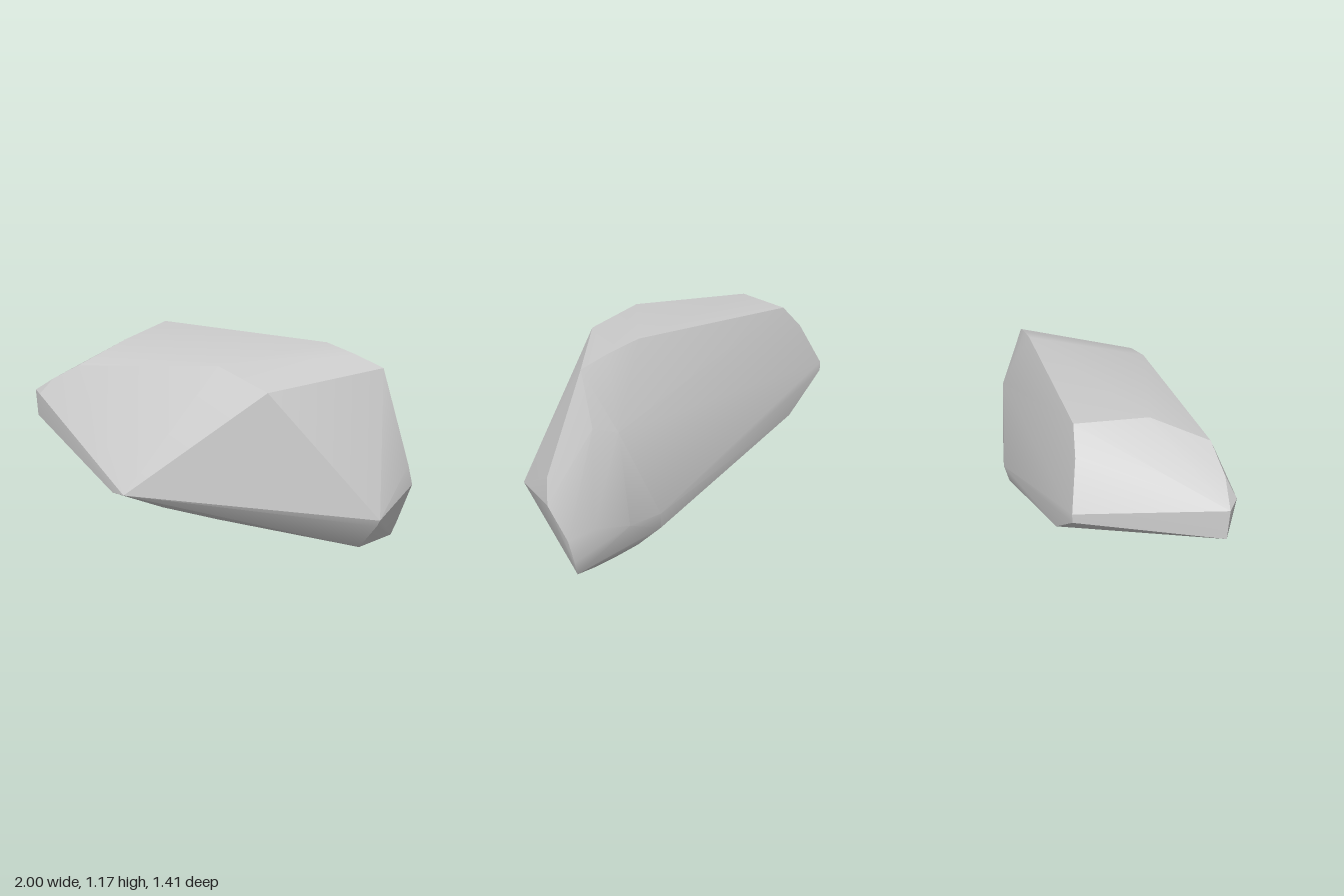
import * as THREE from 'three';
import { ConvexGeometry } from 'three/addons/geometries/ConvexGeometry.js';
import { toCreasedNormals } from 'three/addons/utils/BufferGeometryUtils.js';

// Corner points of the boulder, grouped by region
const crown = [
  [-0.76, 1.07, -0.11], [-0.48, 1.16, -0.23], [-0.08, 1.165, 0.31], [0.13, 1.075, 0.5],
  [0.57, 1.172, 0.1], [0.7, 1.13, 0.21], [0.82, 1.08, 0.31], [-0.22, 1.16, -0.5],
];
const leftEnd = [
  [0.885, 0.81, 0.24], [0.83, 0.78, 0.13], [0.95, 0.56, 0.46], [0.99, 0.43, 0.45],
  [1, 0.25, 0.35], [0.98, 0.12, 0.33], [0.95, 0.035, 0.33], [0.94, 0.3, 0.235],
  [0.83, 0.28, 0.085],
];
const rightEnd = [
  [-0.9, 0.97, -0.2], [-1, 0.87, -0.31], [-1, 0.71, -0.32], [-0.98, 0.88, -0.215],
];
const front = [
  [-0.6, 0.51, 0.37], [-0.65, 0.49, 0.29], [0.7, 0.385, 0.705], [0.695, 0.34, 0.685],
];
const back = [
  [-0.3, 1.04, -0.59], [-0.37, 0.81, -0.71], [-0.37, 0.76, -0.71],
  [-0.15, 0.55, -0.57], [0.71, 0.3, -0.04],
];
const underside = [
  [0.82, 0, 0.29], [0.68, 0.1, 0.51], [-0.07, 0.23, 0.26], [-0.36, 0.26, 0.11],
  [-0.51, 0.31, 0.01], [0.02, 0.4, -0.3], [0.68, 0.2, -0.03], [0.72, 0.11, 0.08],
  [0.77, 0.055, 0.18],
];

export function createModel() {
  const points = [crown, leftEnd, rightEnd, front, back, underside]
    .flat()
    .map((p) => new THREE.Vector3(...p));

  // Convex stone: shallow edges blend, strong ridges stay sharp
  const geometry = toCreasedNormals(new ConvexGeometry(points), 0.4);
  const boulder = new THREE.Mesh(geometry, new THREE.MeshStandardMaterial({ color: 0xcccccc }));
  boulder.name = 'boulder';

  const group = new THREE.Group();
  group.name = 'rock';
  group.add(boulder);
  return group;
}
